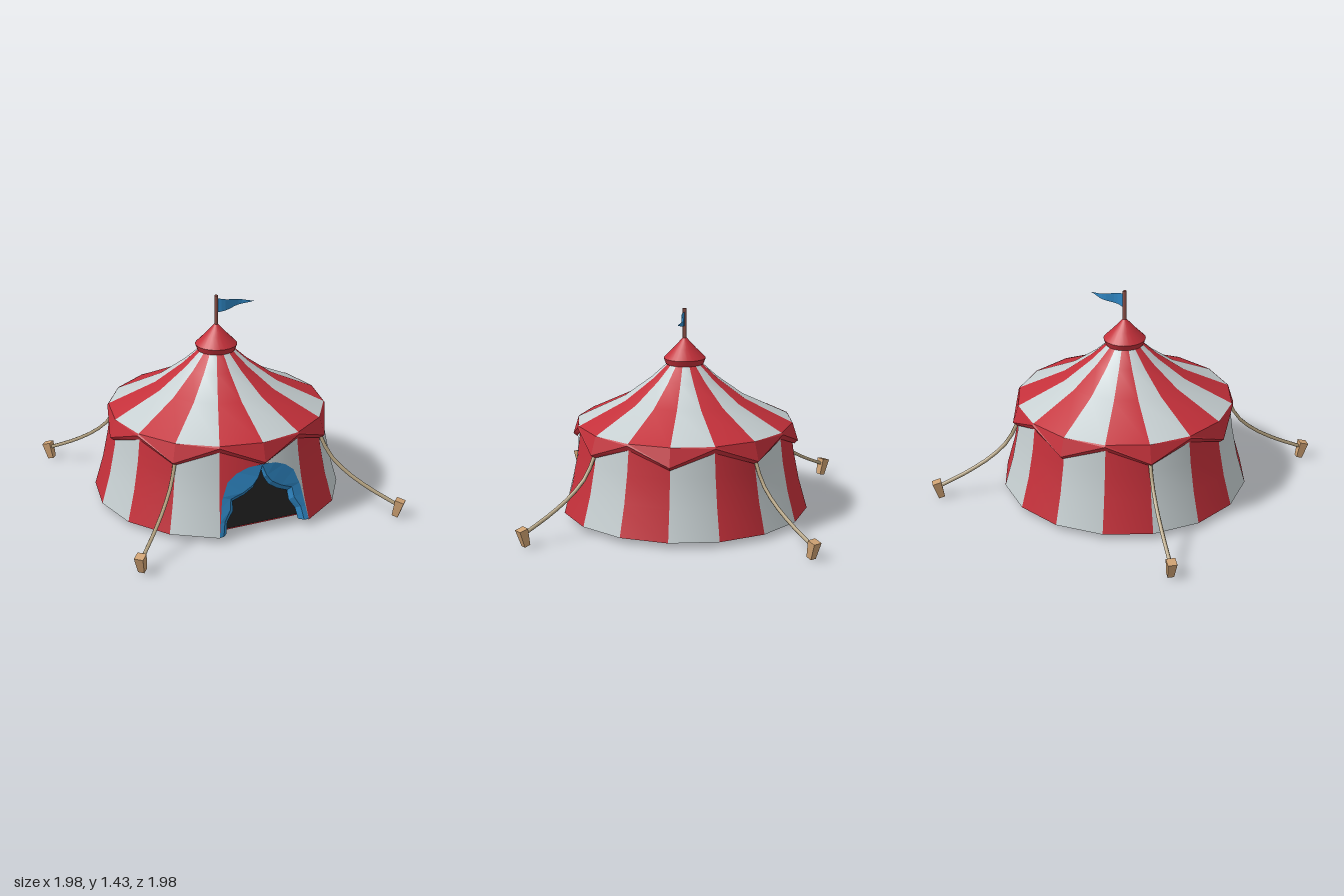
import * as THREE from 'three';

const SIDES = 16, STEP = (Math.PI * 2) / SIDES;
const WALL = [[0.86, 0.04], [0.8, 0.25], [0.76, 0.45], [0.735, 0.65]];
const ROOF = [[0.75, 0.65], [0.42, 0.81], [0.23, 0.95], [0.11, 1.06]];

const mat = (name, color, side = THREE.FrontSide) => {
  const m = new THREE.MeshStandardMaterial({ color, side });
  m.name = name;
  return m;
};
const vec2 = (list) => list.map(([x, y]) => new THREE.Vector2(x, y));
const polar = (r, y, phi) => [r * Math.sin(phi), y, r * Math.cos(phi)];

// Piecewise-linear lookup of v at key k in [k, v] pairs with rising keys
function lookup(pairs, k) {
  for (let i = 1; i < pairs.length; i++) {
    const [k0, v0] = pairs[i - 1], [k1, v1] = pairs[i];
    if (k <= k1) return v0 + ((v1 - v0) * (k - k0)) / (k1 - k0);
  }
  return pairs[pairs.length - 1][1];
}
const wallRadius = (y) => lookup(WALL.map(([r, h]) => [h, r]), y);

// Flat-faced skin through rows of points
function loft(rows) {
  const pos = [];
  for (let i = 0; i + 1 < rows.length; i++) {
    const a = rows[i], b = rows[i + 1];
    for (let j = 0; j + 1 < a.length; j++) {
      pos.push(...a[j], ...b[j], ...a[j + 1], ...b[j + 1], ...a[j + 1], ...b[j]);
    }
  }
  const g = new THREE.BufferGeometry();
  g.setAttribute('position', new THREE.Float32BufferAttribute(pos, 3));
  g.computeVertexNormals();
  return g;
}
const faceted = (geo) => {
  const g = geo.toNonIndexed();
  g.computeVertexNormals();
  return g;
};

export function createModel() {
  const root = new THREE.Group();
  root.name = 'stripedTent';
  const red = mat('red canvas', 0xc4303a, THREE.DoubleSide);
  const white = mat('white canvas', 0xc6cfd1, THREE.DoubleSide);
  const blue = mat('blue cloth', 0x2f88c6, THREE.DoubleSide);
  const black = mat('dark doorway', 0x242424, THREE.DoubleSide);
  const wood = mat('stake wood', 0xcfa273);
  const ropeMat = mat('rope', 0xb8a684);
  const poleMat = mat('pole wood', 0x8a4f46);
  const add = (name, geo, material, parent = root) => {
    const m = new THREE.Mesh(geo, material);
    m.name = name;
    parent.add(m);
    return m;
  };

  // Striped wall and roof; the two front wall bays are left for the doorway
  for (let i = 0; i < SIDES; i++) {
    const m = i % 2 ? red : white;
    add('roofPanel', new THREE.LatheGeometry(vec2(ROOF), 1, i * STEP, STEP), m);
    if (i > 0 && i < SIDES - 1) add('wallPanel', new THREE.LatheGeometry(vec2(WALL), 1, i * STEP, STEP), m);
  }

  // Front bays, cut along the arch: [fraction across the bay, arch height]
  const arch = [[0, 0.5], [0.35, 0.485], [0.62, 0.45], [0.82, 0.4], [0.95, 0.28], [1, 0.04]];
  for (const s of [1, -1]) {
    const rows = arch.map(([t, low]) => [0, 1, 2, 3, 4].map((k) => {
      const y = low + ((0.65 - low) * k) / 4, r = wallRadius(y);
      return [s * t * r * Math.sin(STEP), y, r * (1 - t + t * Math.cos(STEP))];
    }));
    const g = loft(s > 0 ? rows : rows.reverse());
    const p = g.attributes.position, n = new THREE.Vector3();
    for (let i = 0; i < p.count; i++) {
      n.set(p.getX(i), 0.16, p.getZ(i)).normalize();
      g.attributes.normal.setXYZ(i, n.x, n.y, n.z);
    }
    add('doorwayPanel', g, s > 0 ? white : red);
  }

  // Curtains: each row is outer edge, inner edge, turned-back hem
  const curtain = [
    [[0, 0.505], [0, 0.485], [0, 0.46]],
    [[0.1, 0.495], [0.03, 0.41], [0.02, 0.385]],
    [[0.18, 0.46], [0.07, 0.36], [0.055, 0.33]],
    [[0.245, 0.4], [0.14, 0.315], [0.12, 0.285]],
    [[0.295, 0.3], [0.225, 0.28], [0.2, 0.25]],
    [[0.312, 0.22], [0.235, 0.21], [0.205, 0.185]],
    [[0.322, 0.13], [0.28, 0.135], [0.25, 0.12]],
    [[0.329, 0.042], [0.297, 0.042], [0.265, 0.042]],
  ];
  const recess = [0.003, 0.012, 0.05];
  for (const s of [1, -1]) {
    add('curtain', loft(curtain.map((row) => row.map(([x, y], j) =>
      [s * x, y, wallRadius(y) - x * Math.tan(STEP / 2) - recess[j]]))), blue);
  }

  // Dark interior behind the curtains
  add('doorway', loft([
    [[-0.38, 0.042, 0.69], [-0.27, 0.54, 0.67]],
    [[0.38, 0.042, 0.69], [0.27, 0.54, 0.67]],
  ]), black);

  // Floor with a notch at the doorway
  const outline = [[-0.3, 0.7], [0.3, 0.7]];
  for (let i = 1; i < SIDES; i++) {
    const [x, , z] = polar(0.86, 0, i * STEP);
    outline.push([x, z]);
  }
  const floor = new THREE.ShapeGeometry(new THREE.Shape(vec2(outline)));
  floor.rotateX(Math.PI / 2);
  floor.translate(0, 0.04, 0);
  add('floor', floor, red);

  // Zigzag valance with a thick lower edge
  const valance = [];
  for (let i = 0; i <= SIDES; i++) {
    const low = i % 2 === 0, phi = i * STEP;
    valance.push([
      polar(0.735, 0.64, phi),
      polar(low ? 0.765 : 0.742, low ? 0.502 : 0.607, phi),
      polar(low ? 0.79 : 0.758, low ? 0.525 : 0.64, phi),
      polar(0.75, 0.652, phi),
    ]);
  }
  add('valance', loft(valance), red);

  // Roof cap, pole and pennant
  add('capBand', new THREE.CylinderGeometry(0.145, 0.13, 0.04, 24), red).position.y = 1.07;
  add('capCone', new THREE.LatheGeometry(vec2([[0.145, 1.09], [0.08, 1.155], [0.012, 1.23]]), 24), red);
  add('pole', new THREE.CylinderGeometry(0.014, 0.014, 0.23, 8), poleMat).position.y = 1.318;
  const flag = [];
  for (let i = 0; i <= 10; i++) {
    const u = i / 10, h = 0.05 * (1 - u), z = 0.013 * Math.sin(u * Math.PI * 2.5);
    flag.push([[0.01 + 0.27 * u, 1.36 - h, z], [0.01 + 0.27 * u, 1.36 + h, z]]);
  }
  add('pennant', loft(flag), blue);

  // Guy ropes and stakes on the four diagonals
  const path = new THREE.CatmullRomCurve3([[0.76, 0.52], [0.83, 0.39], [0.95, 0.28], [1.12, 0.18], [1.31, 0.095]]
    .map(([x, y]) => new THREE.Vector3(x, y, 0)));
  const rope = new THREE.TubeGeometry(path, 8, 0.013, 6);
  const stake = faceted(new THREE.CylinderGeometry(0.044, 0.03, 0.12, 4, 1, false, Math.PI / 4));
  for (let k = 0; k < 4; k++) {
    const g = new THREE.Group();
    g.name = 'guyLine';
    g.rotation.y = Math.PI / 4 + (k * Math.PI) / 2;
    add('rope', rope, ropeMat, g);
    const s = add('stake', stake, wood, g);
    s.position.set(1.325, 0.067, 0);
    s.rotation.z = -0.25;
    root.add(g);
  }
  return root;
}
